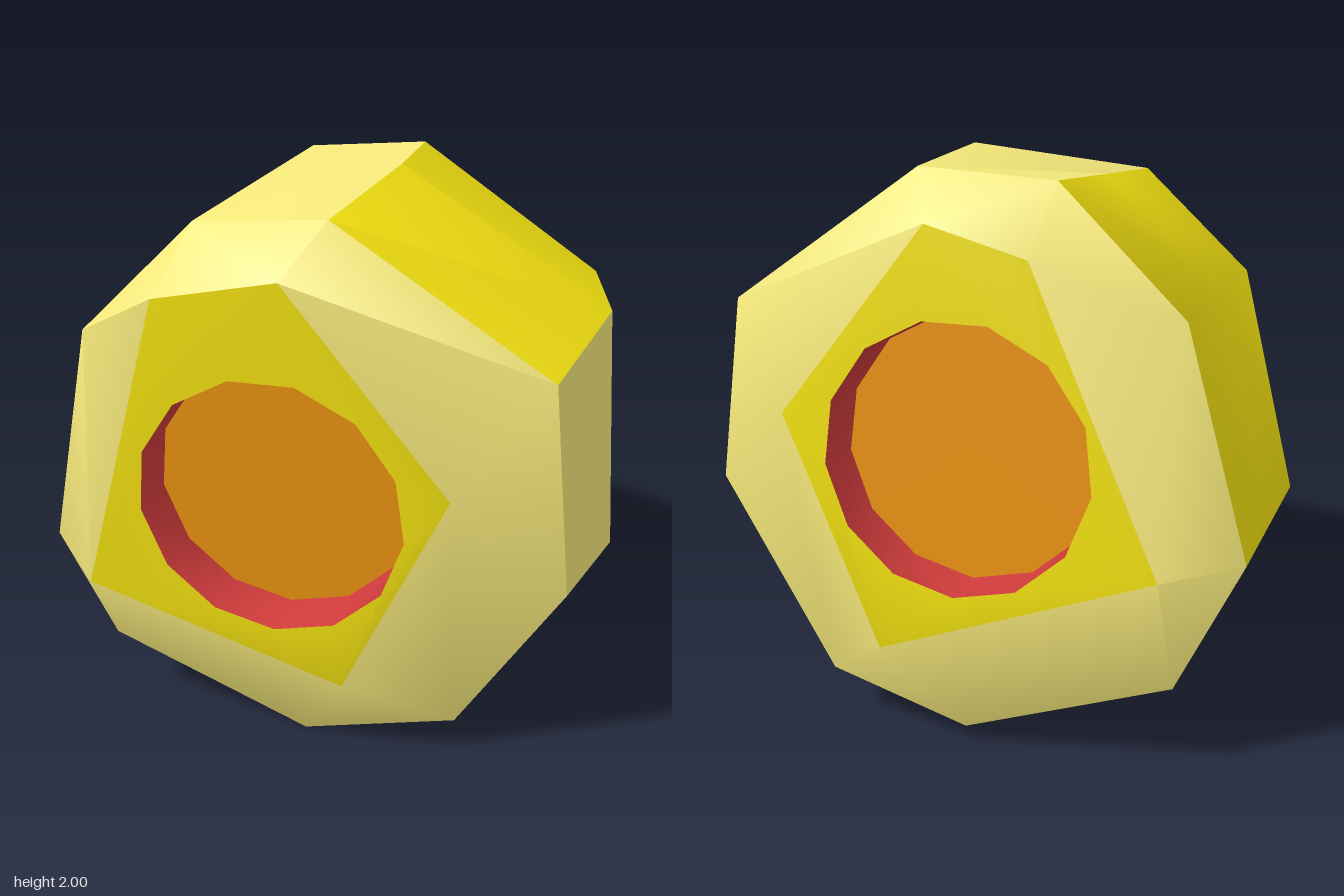
import * as THREE from 'three';
import { toCreasedNormals } from 'three/addons/utils/BufferGeometryUtils.js';

const v = (x, y, z) => new THREE.Vector3(x, y, z);

// Side rings, clockwise seen from the front
const frontRing = [v(0.11, 1.91, 0.65), v(0.8, 1.45, 0.6), v(0.87, 0.73, 0.56),
  v(0.51, 0.14, 0.5), v(-0.04, 0, 0.5), v(-0.78, 0.28, 0.5),
  v(-0.98, 0.67, 0.51), v(-0.74, 1.5, 0.63), v(-0.33, 1.88, 0.63)];
const backRing = [v(0.12, 1.98, -0.56), v(0.8, 1.52, -0.56), v(0.88, 0.88, -0.6),
  v(0.47, 0.2, -0.62), v(-0.04, 0.07, -0.63), v(-0.76, 0.36, -0.63),
  v(-0.97, 0.83, -0.64), v(-0.74, 1.55, -0.55), v(-0.33, 1.95, -0.55)];
// The middle ring bulges only at the first three corners
const bulge = [v(0.2, 2, 0.13), v(0.91, 1.55, 0.1), v(0.97, 0.7, 0.08)];
const middleRing = frontRing.map((p, i) => bulge[i] || p.clone().lerp(backRing[i], 0.5));

const yellowPanels = [0, 2, 4, 6, 7];
const capCorner = [0, 1, 1, 2, 2, 3, 3, 4, 0]; // cap corner that each ring corner leads to

// The two pentagonal caps lie on slightly tilted planes and hold round recesses
const caps = [
  { name: 'front', sign: 1, ring: frontRing, z: 0.75, slope: 0.065, hole: [-0.07, 0.99],
    corners: [[0, 1.75], [0.52, 1.1], [0.16, 0.35], [-0.74, 0.62], [-0.41, 1.67]] },
  { name: 'back', sign: -1, ring: backRing, z: -0.78, slope: 0.055, hole: [-0.07, 1.1],
    corners: [[0.03, 1.83], [0.53, 1.2], [0.19, 0.43], [-0.73, 0.8], [-0.3, 1.74]] },
];
const SIDES = 13, RADIUS = 0.45, DEPTH = 0.18;

export function createModel() {
  const group = new THREE.Group();
  const yellow = [], cream = [];
  const tri = (list, a, b, c) => list.push(a, b, c);
  const quad = (list, a, b, c, d) => { tri(list, a, b, c); tri(list, a, c, d); };

  const addMesh = (name, geometry, color) => {
    const mesh = new THREE.Mesh(geometry,
      new THREE.MeshStandardMaterial({ color, side: THREE.DoubleSide }));
    mesh.name = name;
    group.add(mesh);
  };

  // Side panels and the strips between them
  for (let i = 0; i < 9; i++) {
    const j = (i + 1) % 9;
    const list = yellowPanels.includes(i) ? yellow : cream;
    quad(list, frontRing[i], frontRing[j], middleRing[j], middleRing[i]);
    quad(list, middleRing[i], middleRing[j], backRing[j], backRing[i]);
  }

  for (const cap of caps) {
    const { sign, ring } = cap;
    const onCap = (x, y) => v(x, y, cap.z + cap.slope * (y - 1));
    const face = (list, a, b, c) => (sign > 0 ? tri(list, a, b, c) : tri(list, a, c, b));
    const corners = cap.corners.map(([x, y]) => onCap(x, y));

    // Bevelled rim from the side ring to the cap
    for (let i = 0; i < 9; i++) {
      const j = (i + 1) % 9;
      const p = corners[capCorner[i]], q = corners[capCorner[j]];
      face(cream, p, ring[j], ring[i]);
      if (p !== q) face(cream, p, q, ring[j]);
    }

    // Cap with a many-sided hole, flat at the top
    const outline = cap.corners.map(([x, y]) => new THREE.Vector2(x, y));
    const shape = new THREE.Shape(outline);
    const circle = [];
    for (let k = 0; k < SIDES; k++) {
      const a = -Math.PI / 2 + (k / SIDES) * Math.PI * 2;
      circle.push(new THREE.Vector2(cap.hole[0] + RADIUS * Math.cos(a),
        cap.hole[1] + RADIUS * Math.sin(a)));
    }
    shape.holes.push(new THREE.Path(circle));
    const flat = new THREE.ShapeGeometry(shape).toNonIndexed().attributes.position;
    for (let k = 0; k < flat.count; k += 3) {
      const [a, b, c] = [k, k + 1, k + 2].map((n) => onCap(flat.getX(n), flat.getY(n)));
      face(yellow, a, b, c);
    }

    // Recess wall and floor, set in along the cap's own normal
    const inward = v(0, cap.slope, -1).normalize().multiplyScalar(sign * DEPTH);
    const rim = circle.map((p) => onCap(p.x, p.y));
    const inner = rim.map((p) => p.clone().add(inward));
    const centre = onCap(...cap.hole).add(inward);
    const wall = [], floor = [];
    for (let k = 0; k < SIDES; k++) {
      const n = (k + 1) % SIDES;
      face(wall, rim[k], inner[n], rim[n]);
      face(wall, rim[k], inner[k], inner[n]);
      face(floor, centre, inner[k], inner[n]);
    }
    const build = (points) =>
      toCreasedNormals(new THREE.BufferGeometry().setFromPoints(points), 0.65);
    addMesh(cap.name + 'RecessWall', build(wall), 0xd23c3c);
    addMesh(cap.name + 'RecessFloor', build(floor), 0xe89010);
  }

  // Shade the whole shell together, then split it by colour
  const shell = toCreasedNormals(
    new THREE.BufferGeometry().setFromPoints([...yellow, ...cream]), 0.65);
  const part = (start, end) => {
    const geometry = new THREE.BufferGeometry();
    for (const key of ['position', 'normal']) {
      const data = shell.attributes[key].array.slice(start * 3, end * 3);
      geometry.setAttribute(key, new THREE.BufferAttribute(data, 3));
    }
    return geometry;
  };
  addMesh('shellPanels', part(0, yellow.length), 0xf0de10);
  addMesh('shellStrips', part(yellow.length, yellow.length + cream.length), 0xf5e87a);

  return group;
}
